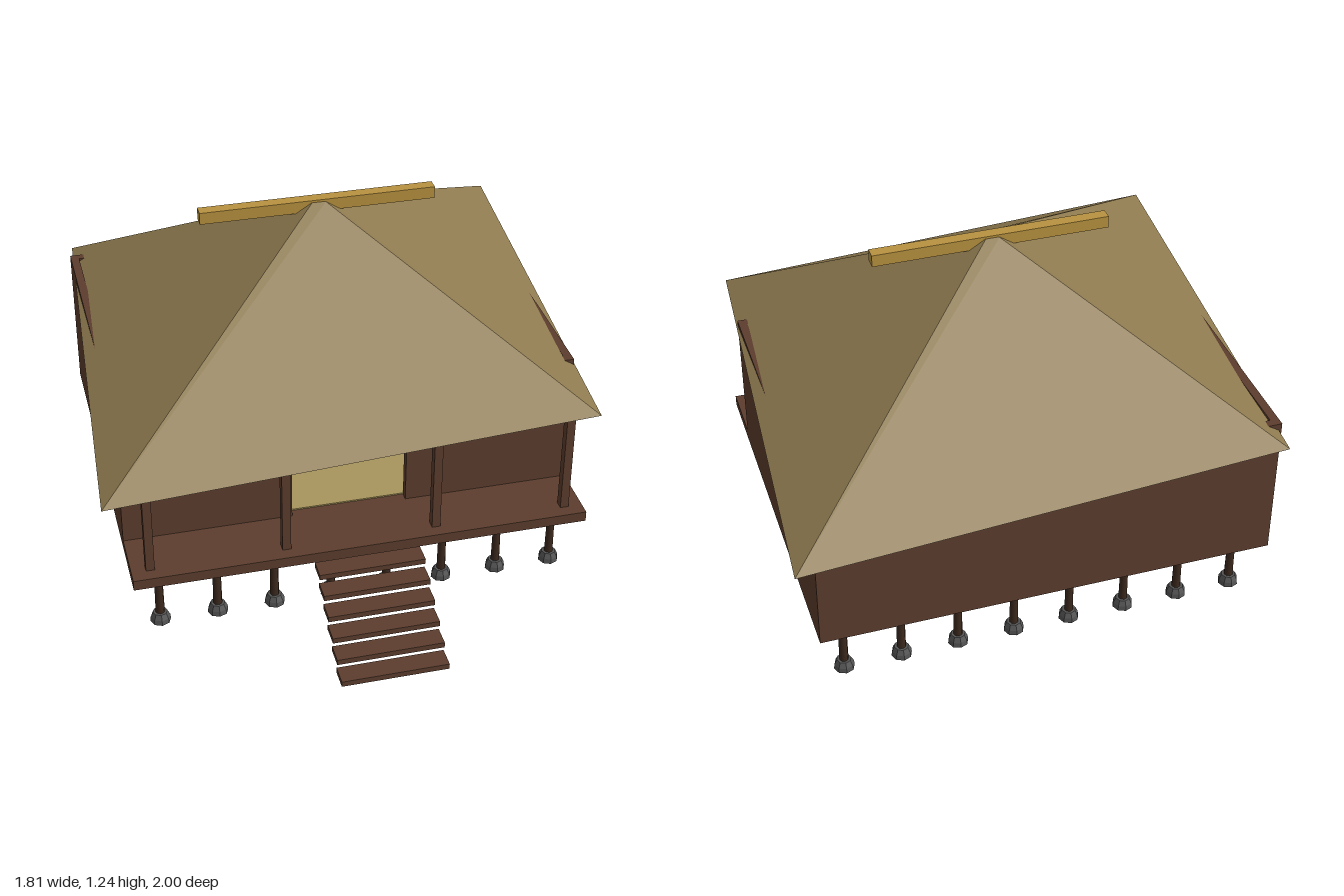
import * as THREE from 'three';

const mat = (name, color, extra = {}) => {
  const m = new THREE.MeshStandardMaterial({ color, ...extra });
  m.name = name;
  return m;
};

export function createModel() {
  const house = new THREE.Group();
  house.name = 'stiltHouse';

  const wood = mat('brownWood', 0x5c3d2e);
  const darkWood = mat('darkWood', 0x3d2a1e);
  const stone = mat('greyStone', 0x555555, { flatShading: true });
  const thatch = mat('thatch', 0x8f7b50, { flatShading: true });
  const bamboo = mat('goldenWood', 0xb8923f);
  const straw = mat('strawMat', 0xa8955c);

  const add = (name, geometry, material, x = 0, y = 0, z = 0) => {
    const mesh = new THREE.Mesh(geometry, material);
    mesh.name = name;
    mesh.position.set(x, y, z);
    house.add(mesh);
    return mesh;
  };
  // Box given by its limits on each axis
  const box = (name, material, x0, x1, y0, y1, z0, z1) =>
    add(name, new THREE.BoxGeometry(x1 - x0, y1 - y0, z1 - z0), material,
      (x0 + x1) / 2, (y0 + y1) / 2, (z0 + z1) / 2);

  // Piles standing on rounded stones
  const stoneProfile = [[0, 0], [0.036, 0], [0.034, 0.018], [0.025, 0.037], [0, 0.037]]
    .map(([r, y]) => new THREE.Vector2(r, y));
  const stoneGeo = new THREE.LatheGeometry(stoneProfile, 8);
  const pileGeo = new THREE.CylinderGeometry(0.014, 0.016, 0.19, 8);
  for (let i = 0; i < 8; i++) {
    for (let j = 0; j < 6; j++) {
      const x = -0.705 + i * 0.2015, z = 0.512 - j * 0.2385;
      add('footingStone', stoneGeo, stone, x, 0, z);
      add('pile', pileGeo, darkWood, x, 0.128, z);
    }
  }

  // Platform and straw floor inside
  box('platform', wood, -0.8, 0.8, 0.217, 0.255, -0.77, 0.6);
  box('strawFloor', straw, -0.77, 0.77, 0.255, 0.26, -0.74, 0.345);

  // Walls with a doorway in the front
  const top = 0.75, t = 0.03;
  box('backWall', wood, -0.8, 0.8, 0.255, top, -0.77, -0.77 + t);
  for (const s of [-1, 1]) {
    const a = s * 0.8, b = s * (0.8 - t), c = s * 0.205;
    box('sideWall', wood, Math.min(a, b), Math.max(a, b), 0.255, top, -0.77, 0.375);
    box('frontWall', wood, Math.min(b, c), Math.max(b, c), 0.255, top, 0.345, 0.375);
  }
  box('doorLintel', bamboo, -0.205, 0.205, 0.672, 0.735, 0.345, 0.375);

  // Hearth in the room
  add('hearth', new THREE.CylinderGeometry(0.085, 0.1, 0.03, 12), stone, 0, 0.275, -0.2);
  add('hearthAsh', new THREE.CylinderGeometry(0.06, 0.06, 0.006, 12), bamboo, 0, 0.292, -0.2);

  // Porch posts
  for (const x of [-0.735, -0.265, 0.265, 0.735])
    box('porchPost', wood, x - 0.015, x + 0.015, 0.255, 0.74, 0.523, 0.555);

  // Open stair treads
  for (let i = 0; i < 6; i++) {
    const y = 0.011 + i * 0.0418, z = 0.93 - i * 0.0605;
    box('stairTread', wood, -0.185, 0.185, y, y + 0.02, z, z + 0.072);
  }

  // Skewed four-sided roof: stretched along one diagonal
  const roof = new THREE.CylinderGeometry(0.035, 1, 0.51, 4);
  const p = roof.attributes.position;
  for (let i = 0; i < p.count; i++) {
    if (p.getY(i) < 0) p.setXYZ(i, p.getX(i) * 1.282, p.getY(i), p.getZ(i) * 1.106);
  }
  roof.rotateY(Math.PI / 4);
  roof.computeVertexNormals();
  add('roof', roof, thatch, 0, 0.98, -0.092);

  box('ridgeBeam', bamboo, -0.415, 0.415, 1.2, 1.243, -0.113, -0.07);

  return house;
}
